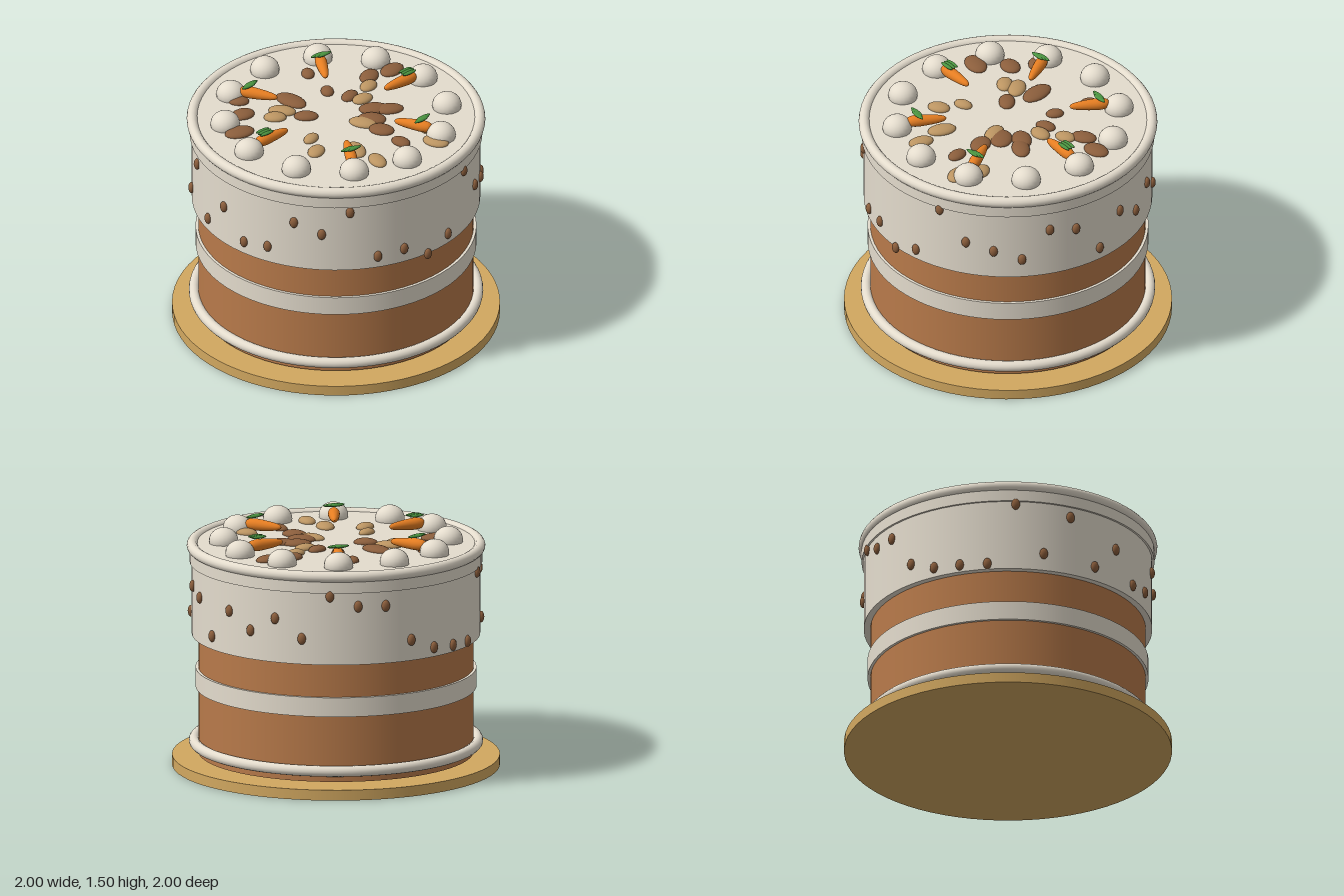
import * as THREE from 'three';

const mat = (name, color) => {
  const m = new THREE.MeshStandardMaterial({ color });
  m.name = name;
  return m;
};

export function createModel() {
  const cake = new THREE.Group();
  cake.name = 'layeredCarrotCake';

  const gold = mat('goldBoard', 0xd2a860);
  const sponge = mat('sponge', 0xb87a4a);
  const cream = mat('cream', 0xe4dccd);
  const brown = mat('brownNut', 0x8b5e3c);
  const tan = mat('tanNut', 0xbc9562);
  const orange = mat('carrotOrange', 0xe67e22);
  const green = mat('leafGreen', 0x4a9440);

  const TOP = 1.385;
  const ball = new THREE.SphereGeometry(1, 20, 14);

  const add = (parent, name, geometry, material, x = 0, y = 0, z = 0) => {
    const mesh = new THREE.Mesh(geometry, material);
    mesh.name = name;
    mesh.position.set(x, y, z);
    parent.add(mesh);
    return mesh;
  };
  const disc = (name, r, y0, y1, material) =>
    add(cake, name, new THREE.CylinderGeometry(r, r, y1 - y0, 72), material, 0, (y0 + y1) / 2, 0);
  const ring = (name, r, tube, y) =>
    add(cake, name, new THREE.TorusGeometry(r, tube, 14, 72).rotateX(Math.PI / 2), cream, 0, y, 0);

  // Board, sponge layers, filling and frosting
  disc('board', 1, 0, 0.065, gold);
  disc('lowerSponge', 0.84, 0.08, 0.49, sponge);
  disc('creamFilling', 0.857, 0.49, 0.61, cream);
  disc('upperSponge', 0.84, 0.61, 0.82, sponge);
  disc('frosting', 0.88, 0.82, TOP, cream);
  disc('rimBand', 0.893, 1.27, 1.35, cream);
  ring('topRim', 0.877, 0.034, 1.37);
  ring('baseRim', 0.865, 0.033, 0.152);

  // Cream dollops around the top
  const dollops = new THREE.Group();
  dollops.name = 'dollops';
  cake.add(dollops);
  for (let i = 0; i < 12; i++) {
    const a = (i * Math.PI) / 6;
    add(dollops, 'dollop', ball, cream, 0.685 * Math.sin(a), 1.402, 0.685 * Math.cos(a))
      .scale.set(0.09, 0.08, 0.09);
  }

  // Carrots pointing at the centre, each with three leaves
  const profile = [[0, -0.125], [0.016, -0.11], [0.027, -0.06], [0.035, 0.02], [0.036, 0.07], [0.026, 0.11], [0, 0.125]];
  const root = new THREE.LatheGeometry(
    new THREE.SplineCurve(profile.map(([x, y]) => new THREE.Vector2(x, y))).getPoints(18)
      .map((p) => new THREE.Vector2(Math.max(p.x, 0), p.y)), 18).rotateZ(-Math.PI / 2);
  for (let i = 0; i < 6; i++) {
    const a = (i * Math.PI) / 3;
    const carrot = new THREE.Group();
    carrot.name = 'carrot';
    carrot.rotation.y = a;
    cake.add(carrot);
    add(carrot, 'carrotRoot', root, orange, 0.505, 1.436, 0);
    for (const z of [-0.021, 0, 0.021]) {
      const leaf = add(carrot, 'carrotLeaf', ball, green, 0.562, 1.49, z);
      leaf.scale.set(0.052, 0.01, 0.013);
      leaf.rotation.y = -a; // leaves all lie along x
    }
  }

  // Nut pieces scattered on top: x, z, half length, half width, turn in degrees
  const scatter = (name, list, material) => {
    const group = new THREE.Group();
    group.name = name;
    cake.add(group);
    for (const [x, z, l, w, turn] of list) {
      const nut = add(group, 'nut', ball, material, x, TOP + 0.005, z);
      nut.scale.set(l, 0.028, w);
      nut.rotation.y = -THREE.MathUtils.degToRad(turn);
    }
  };
  scatter('brownNuts', [
    [-0.58, -0.22, 0.095, 0.063, 15], [-0.43, -0.37, 0.075, 0.058, 10], [-0.1, -0.31, 0.11, 0.063, 80],
    [-0.145, -0.11, 0.075, 0.05, 40], [0.18, -0.49, 0.055, 0.04, -60], [0.14, -0.255, 0.055, 0.04, -60],
    [0.21, -0.125, 0.065, 0.045, -20], [0.45, -0.23, 0.08, 0.055, -30], [0.605, -0.2, 0.085, 0.06, -10],
    [0.23, 0.08, 0.09, 0.06, 30], [0.3, 0.145, 0.09, 0.055, 30], [0.14, 0.17, 0.09, 0.07, 40],
    [0.11, 0.305, 0.08, 0.06, 60], [0.11, 0.49, 0.065, 0.045, 80], [-0.35, -0.51, 0.065, 0.05, 45],
  ], brown);
  scatter('tanNuts', [
    [-0.3, -0.22, 0.07, 0.05, 40], [-0.22, -0.25, 0.085, 0.055, 50], [0.25, -0.05, 0.07, 0.05, 0],
    [0.375, -0.145, 0.065, 0.048, -20], [-0.29, 0.115, 0.06, 0.04, -20], [-0.36, 0.25, 0.07, 0.05, -30],
    [-0.16, 0.39, 0.09, 0.055, -70], [-0.14, 0.57, 0.08, 0.05, -75], [0.075, 0.17, 0.09, 0.055, 60],
    [0.34, 0.49, 0.07, 0.05, 60], [0.28, 0.62, 0.085, 0.06, 70],
  ], tan);

  // Nut pieces pressed into the side: heights at even steps round from the front
  const sideNuts = new THREE.Group();
  sideNuts.name = 'sideNuts';
  cake.add(sideNuts);
  const heights = [
    0.82, 0.89, 1.25, 1.055, 1.01, 0.95, 1.145, 1.11, 0.905, 1.095, 1.0, 1.095, 0.98, 1.25, 1.185, 1.18,
    0.95, 0.88, 0.865, 0.855, 1.25, 0.93, 1.2, 0.91, 1.08, 0.905, 0.93, 1.14, 1.075, 1.23, 0.9, 0.915,
  ];
  heights.forEach((y, i) => {
    const a = (i * Math.PI * 2) / heights.length;
    const nut = add(sideNuts, 'sideNut', ball, brown, 0.885 * Math.sin(a), y, 0.885 * Math.cos(a));
    nut.scale.set(0.026, 0.036, 0.02);
    nut.rotation.y = a;
  });

  return cake;
}
